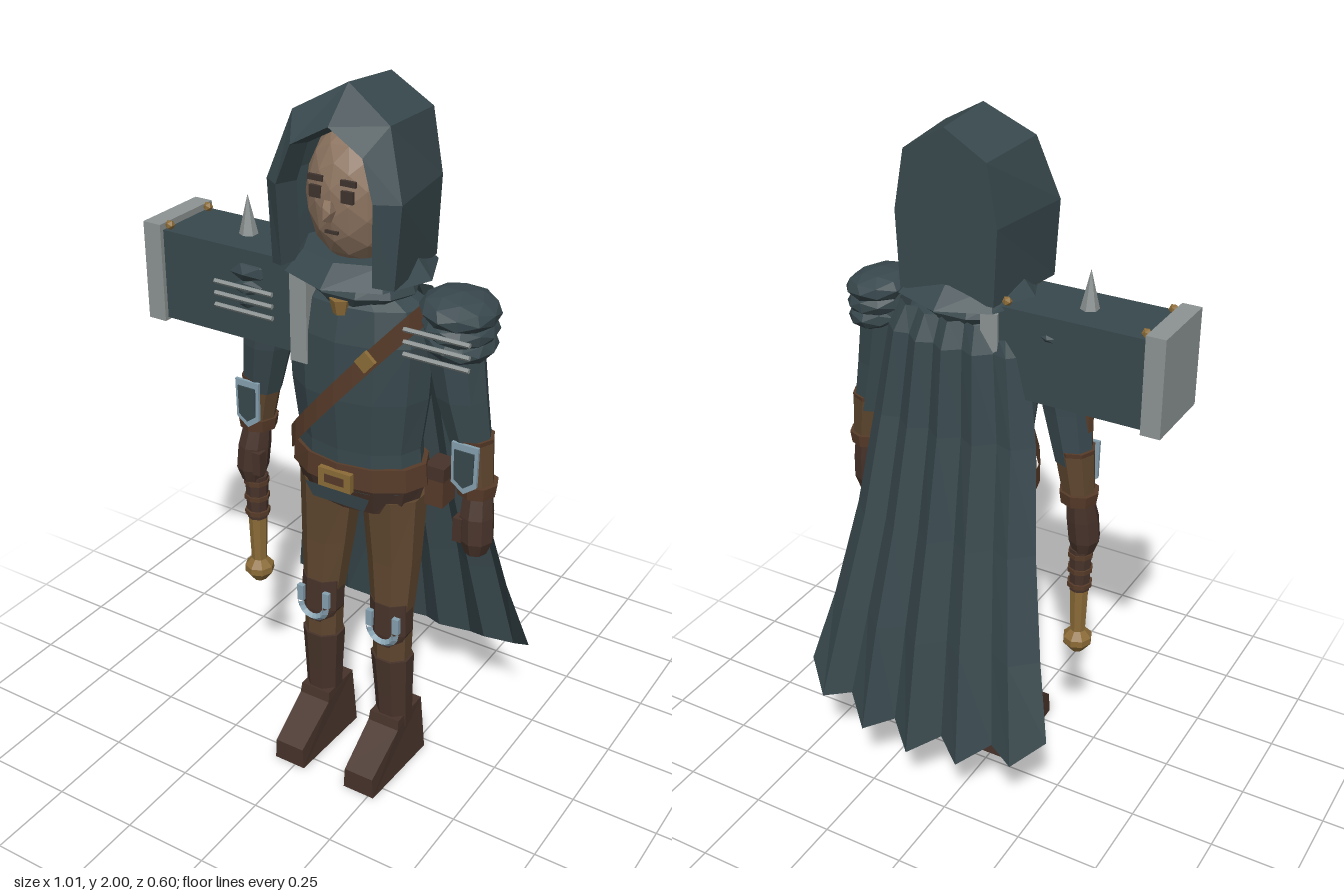
import * as THREE from 'three';

const mat = (name, color, open) => {
  const m = new THREE.MeshStandardMaterial({ color });
  m.name = name;
  if (open) m.side = THREE.DoubleSide;
  return m;
};

export function createModel() {
  const root = new THREE.Group();
  root.name = 'hoodedWarrior';
  const CX = 0.1, CZ = 0.1; // body axis

  const cloth = mat('slateCloth', 0x38484d, true);
  const leather = mat('darkLeather', 0x47332a, true);
  const trouser = mat('brownTrousers', 0x5e462e);
  const strapMat = mat('strapLeather', 0x573b29, true);
  const steel = mat('steel', 0x8d9493);
  const gold = mat('brass', 0x8c6c38);
  const skin = mat('skin', 0x8c735f);
  const trim = mat('paleTrim', 0x86a1b0);
  const ink = mat('faceDark', 0x3f342f);

  // Faceted mesh helper
  const add = (name, geo, material, x = 0, y = 0, z = 0) => {
    const g = geo.index ? geo.toNonIndexed() : geo;
    g.computeVertexNormals();
    const m = new THREE.Mesh(g, material);
    m.name = name;
    m.position.set(x, y, z);
    root.add(m);
    return m;
  };
  const box = (name, w, h, d, m, x, y, z) => add(name, new THREE.BoxGeometry(w, h, d), m, x, y, z);

  // Capped loft through ellipses [y, x, z, rx, rz], listed from bottom to top
  const loft = (rings, n = 8, turn = 0) => {
    const p = [], idx = [];
    for (const [y, x, z, rx, rz] of rings)
      for (let j = 0; j < n; j++) {
        const a = ((j + turn) / n) * Math.PI * 2;
        p.push(x + rx * Math.cos(a), y, z + rz * Math.sin(a));
      }
    const last = rings.length - 1, base = last * n;
    for (let i = 0; i < last; i++)
      for (let j = 0; j < n; j++) {
        const k = (j + 1) % n, a = i * n + j, b = i * n + k;
        idx.push(a, a + n, b, b, a + n, b + n);
      }
    for (let j = 1; j < n - 1; j++) idx.push(0, j, j + 1, base, base + j + 1, base + j);
    const g = new THREE.BufferGeometry();
    g.setAttribute('position', new THREE.Float32BufferAttribute(p, 3));
    g.setIndex(idx);
    return g;
  };

  // Open sheet through rows of [x, y, z] points
  const sheet = (rows) => {
    const n = rows[0].length, idx = [];
    for (let i = 0; i < rows.length - 1; i++)
      for (let j = 0; j < n - 1; j++) {
        const a = i * n + j;
        idx.push(a, a + n, a + 1, a + 1, a + n, a + n + 1);
      }
    const g = new THREE.BufferGeometry();
    g.setAttribute('position', new THREE.Float32BufferAttribute(rows.flat(2), 3));
    g.setIndex(idx);
    return g;
  };

  // Torso, hips and belt
  add('tunic', loft([[0.93, CX, CZ, 0.19, 0.115], [1.05, CX, CZ, 0.18, 0.118], [1.2, CX, CZ, 0.2, 0.133],
    [1.36, CX, CZ, 0.21, 0.13], [1.45, CX, CZ, 0.185, 0.108], [1.49, CX, CZ, 0.1, 0.08]], 12), cloth);
  add('hips', loft([[0.86, CX, CZ, 0.17, 0.09], [0.95, CX, CZ, 0.197, 0.122]], 12), leather);
  add('belt', loft([[0.945, CX, CZ, 0.203, 0.126], [1.01, CX, CZ, 0.198, 0.124]], 12), strapMat);
  box('buckle', 0.1, 0.055, 0.016, gold, CX, 0.965, 0.228);
  box('buckleInset', 0.06, 0.024, 0.008, strapMat, CX, 0.965, 0.234);
  add('loincloth', sheet([[[0, 0.93, 0.224], [0.2, 0.93, 0.224]], [[0.02, 0.885, 0.216], [0.18, 0.885, 0.216]]]), cloth);
  box('pouch', 0.055, 0.11, 0.07, strapMat, 0.312, 0.93, 0.045);
  box('pouchFlap', 0.06, 0.04, 0.076, leather, 0.312, 0.975, 0.045);

  // Diagonal strap looping round the chest
  const strapRow = (dy) => Array.from({ length: 25 }, (_, i) => {
    const a = (i / 24) * Math.PI * 2;
    return [CX + 0.205 * Math.cos(a), 1.22 + 0.235 * Math.cos(a) + dy, CZ + 0.139 * Math.sin(a)];
  });
  add('chestStrap', sheet([strapRow(-0.033), strapRow(0.033)]), strapMat);
  box('strapBuckle', 0.045, 0.04, 0.012, gold, 0.19, 1.33, 0.23).rotation.z = 0.85;
  add('pendant', new THREE.CylinderGeometry(0.03, 0.02, 0.04, 6), gold, CX, 1.45, 0.2);

  // Face
  add('head', new THREE.IcosahedronGeometry(1, 2).scale(0.128, 0.185, 0.133), skin, CX, 1.725, 0.117);
  add('nose', new THREE.IcosahedronGeometry(1, 0).scale(0.018, 0.032, 0.026), skin, CX, 1.712, 0.258);
  box('mouth', 0.035, 0.008, 0.008, ink, CX, 1.655, 0.24);
  for (const s of [-1, 1]) {
    box('eye', 0.032, 0.03, 0.009, ink, CX + s * 0.045, 1.75, 0.241);
    box('brow', 0.042, 0.014, 0.009, ink, CX + s * 0.046, 1.783, 0.238);
  }

  // Hood: back panel, outer shell, front rim and inner lining
  const arch = (half) => [...half.slice(1).reverse().map(([x, y, z]) => [CX - x, y, z]),
    ...half.map(([x, y, z]) => [CX + x, y, z])];
  const hoodRows = [
    arch([[0, 1.75, -0.032], [0, 1.75, -0.032], [0, 1.75, -0.032], [0, 1.54, -0.032]]),
    arch([[0, 1.985, -0.03], [0.12, 1.915, -0.03], [0.15, 1.75, -0.03], [0.14, 1.54, -0.03]]),
    arch([[0, 2, 0.165], [0.135, 1.925, 0.2], [0.19, 1.755, 0.235], [0.175, 1.54, 0.24]]),
    arch([[0, 1.915, 0.255], [0.1, 1.86, 0.265], [0.135, 1.76, 0.277], [0.13, 1.55, 0.268]]),
    arch([[0, 1.9, 0.2], [0.092, 1.85, 0.2], [0.126, 1.75, 0.2], [0.12, 1.55, 0.2]]),
  ];
  add('hood', sheet(hoodRows), cloth);
  add('cowl', loft([[1.49, CX, CZ, 0.12, 0.1], [1.525, CX, CZ, 0.2, 0.195], [1.575, CX, CZ, 0.16, 0.135]], 8), cloth);
  add('scarf', loft([[1.445, CX, CZ, 0.1, 0.1], [1.48, CX, CZ, 0.155, 0.12], [1.52, CX, CZ, 0.14, 0.1]], 10), cloth);

  // Pleated cape
  const capeLevels = [[1.47, 0.19, -0.015, 0.012], [1.4, 0.215, -0.045, 0.016], [1.15, 0.255, -0.07, 0.02],
    [0.85, 0.29, -0.13, 0.025], [0.55, 0.345, -0.2, 0.03], [0.225, 0.4, -0.262, 0.034]];
  add('cape', sheet(capeLevels.map(([y, half, z, fold], r) => Array.from({ length: 11 }, (_, j) => {
    const u = (j - 5) / 5, ridge = j % 2 ? 1 : -1;
    const hem = r === 5 ? 0.08 * u * u - 0.02 * ridge : 0;
    return [CX + half * u, y + hem, z + 0.055 * u * u - fold * ridge * (1 - 0.3 * Math.abs(u))];
  }))), cloth);

  for (const s of [-1, 1]) {
    const X = (d) => CX + s * d;

    // Leg, boot and knee guard
    add('trouserLeg', loft([[0.36, X(0.115), 0.115, 0.055, 0.05], [0.52, X(0.113), 0.115, 0.06, 0.055],
      [0.7, X(0.107), 0.1, 0.077, 0.07], [0.9, X(0.098), 0.09, 0.092, 0.088]], 8, 0.5), trouser);
    add('bootShaft', loft([[0.14, X(0.12), 0.105, 0.052, 0.05], [0.25, X(0.118), 0.11, 0.056, 0.052],
      [0.38, X(0.115), 0.115, 0.063, 0.058]], 8, 0.5), leather);
    const side = new THREE.Shape([[0.3, 0], [0.3, 0.065], [0.165, 0.15], [0.16, 0.18], [0.03, 0.18], [0.025, 0]]
      .map(([z, y]) => new THREE.Vector2(z, y)));
    const foot = new THREE.ExtrudeGeometry(side, { depth: 0.12, bevelEnabled: false });
    foot.translate(0, 0, -0.06).rotateY(-Math.PI / 2);
    const fp = foot.attributes.position; // narrow the ankle and the toe
    for (let i = 0; i < fp.count; i++)
      fp.setX(i, fp.getX(i) * (1 - 1.2 * fp.getY(i)) * (fp.getZ(i) > 0.25 ? 0.82 : 1));
    add('bootFoot', foot, leather, X(0.118), 0, 0);
    add('kneeGuard', loft([[0.43, X(0.114), 0.12, 0.045, 0.05], [0.47, X(0.114), 0.12, 0.062, 0.056],
      [0.57, X(0.112), 0.12, 0.062, 0.053]], 8, 0.5), leather);
    add('kneeTrim', new THREE.TorusGeometry(0.042, 0.011, 4, 8, Math.PI).rotateZ(Math.PI), trim, X(0.114), 0.49, 0.172);
    for (const e of [-1, 1]) box('kneeTrimEnd', 0.02, 0.05, 0.014, trim, X(0.114) + e * 0.042, 0.515, 0.168);

    // Sleeve, bracer and glove
    add('sleeve', loft([[1.09, X(0.325), 0.09, 0.055, 0.052], [1.24, X(0.295), 0.1, 0.07, 0.066],
      [1.38, X(0.27), 0.1, 0.078, 0.074], [1.47, X(0.24), 0.1, 0.06, 0.06]]), cloth);
    add('bracer', loft([[0.97, X(0.345), 0.09, 0.045, 0.044], [1.12, X(0.325), 0.09, 0.058, 0.055]]), trouser);
    for (const [y, d] of [[0.985, 0.343], [1.115, 0.326]])
      add('bracerBand', loft([[y - 0.018, X(d), 0.09, 0.052, 0.052], [y + 0.018, X(d), 0.09, 0.058, 0.056]]), strapMat);
    const plate = (k) => new THREE.ExtrudeGeometry(new THREE.Shape([[-0.038, 0.07], [0.038, 0.07],
      [0.036, -0.045], [0, -0.072], [-0.036, -0.045]].map(([x, y]) => new THREE.Vector2(x * k, y * k))),
      { depth: 0.009, bevelEnabled: false });
    add('bracerPlateTrim', plate(1), trim, X(0.335), 1.06, 0.143);
    add('bracerPlate', plate(0.74), cloth, X(0.335), 1.06, 0.147);
    add('glove', loft([[0.8, X(0.357), 0.105, 0.03, 0.035], [0.84, X(0.357), 0.105, 0.045, 0.048],
      [0.91, X(0.352), 0.1, 0.046, 0.048], [0.975, X(0.347), 0.09, 0.04, 0.038]]), leather);
    box('thumb', 0.026, 0.07, 0.03, leather, X(0.318), 0.87, 0.13);

    // Layered shoulder pad with rods
    for (let i = 0; i < 3; i++) {
      const pad = new THREE.IcosahedronGeometry(1, 1).rotateY(i * 0.5).scale(0.09 + i * 0.005, 0.046, 0.104 + i * 0.005);
      add('shoulderPlate', pad, cloth, X(0.29 - i * 0.003), 1.39 + i * 0.042, 0.105).rotation.z = s * -0.12;
      add('shoulderRod', new THREE.CylinderGeometry(0.007, 0.007, 0.18, 5).rotateZ(Math.PI / 2),
        steel, X(0.283), 1.375 + i * 0.033, 0.222);
    }
  }

  // War hammer
  const HX = -0.25;
  box('hammerHead', 0.42, 0.25, 0.2, cloth, -0.25, 1.41, 0.098);
  box('hammerCapOuter', 0.055, 0.275, 0.225, steel, -0.482, 1.415, 0.098);
  box('hammerCapInner', 0.05, 0.24, 0.232, steel, -0.015, 1.393, 0.105);
  add('hammerSpike', new THREE.ConeGeometry(0.026, 0.11, 6), steel, HX, 1.588, 0.098);
  for (const x of [-0.445, -0.055])
    for (const z of [0.015, 0.18]) add('rivet', new THREE.IcosahedronGeometry(0.014, 0), gold, x, 1.545, z);
  add('hammerHandle', new THREE.CylinderGeometry(0.022, 0.022, 0.66, 8), strapMat, HX, 0.97, CZ);
  add('handleGrip', new THREE.CylinderGeometry(0.034, 0.03, 0.14, 8), leather, HX, 0.74, CZ);
  for (const y of [0.69, 0.74, 0.79])
    add('gripBand', new THREE.CylinderGeometry(0.037, 0.037, 0.014, 8), strapMat, HX, y, CZ);
  add('handleEnd', new THREE.CylinderGeometry(0.028, 0.022, 0.17, 8), gold, HX, 0.595, CZ);
  add('pommel', loft([[0.455, HX, CZ, 0.02, 0.02], [0.485, HX, CZ, 0.043, 0.043],
    [0.505, HX, CZ, 0.043, 0.043], [0.53, HX, CZ, 0.02, 0.02]]), gold);

  return root;
}
